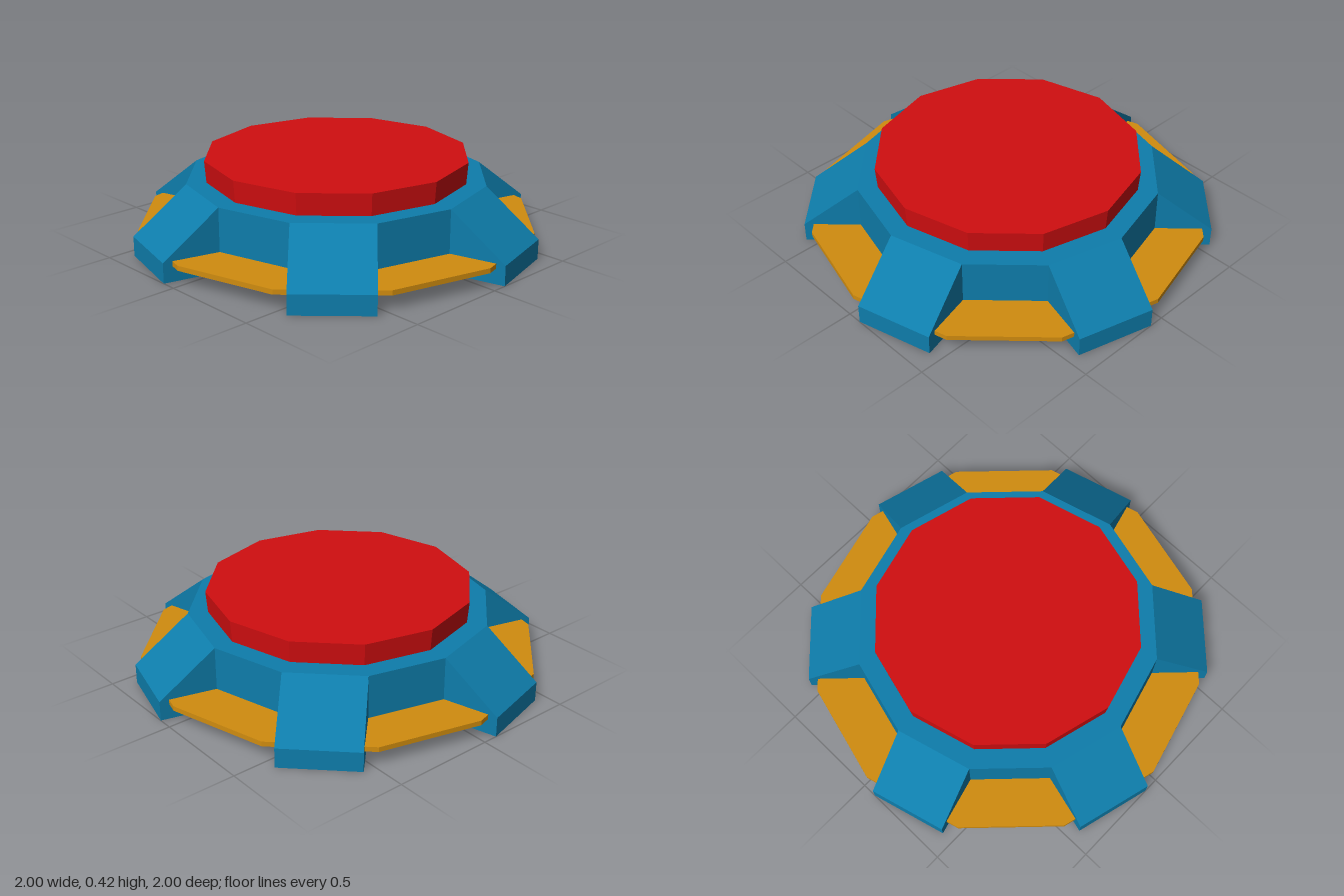
import * as THREE from 'three';

const SIDES = 12;
const BODY_R = 0.735;
const BODY_TOP = 0.312;

export function createModel() {
  const group = new THREE.Group();
  const paint = (color, side = THREE.FrontSide) =>
    new THREE.MeshStandardMaterial({ color, flatShading: true, side });
  const blue = paint(0x0e7dab);
  const add = (name, geometry, material, y = 0) => {
    const mesh = new THREE.Mesh(geometry, material);
    mesh.name = name;
    mesh.position.y = y;
    group.add(mesh);
    return mesh;
  };

  // Twelve-sided housing, open underneath
  const profile = [[BODY_R, 0], [BODY_R, BODY_TOP], [0, BODY_TOP]].map(([r, y]) => new THREE.Vector2(r, y));
  add('housing', new THREE.LatheGeometry(profile, SIDES), paint(0x0e7dab, THREE.DoubleSide));

  // Thin plate running through the housing and out between the feet
  add('plate', new THREE.CylinderGeometry(0.972, 0.972, 0.024, SIDES), paint(0xd08c0f), 0.087);

  // Slightly flared button on top
  add('button', new THREE.CylinderGeometry(0.646, 0.638, 0.107, SIDES), paint(0xd00e10), 0.3655);

  // Sloped feet on every second side of the housing
  const inner = BODY_R * Math.cos(Math.PI / SIDES);
  const width = 2 * BODY_R * Math.sin(Math.PI / SIDES);
  const outer = 0.984;
  const section = new THREE.Shape([
    new THREE.Vector2(inner, 0),
    new THREE.Vector2(outer, 0),
    new THREE.Vector2(outer, 0.097),
    new THREE.Vector2(inner, BODY_TOP),
  ]);
  const footGeometry = new THREE.ExtrudeGeometry(section, { depth: width, bevelEnabled: false });
  footGeometry.translate(0, 0, -width / 2);
  for (let i = 0; i < 6; i++) {
    const foot = add('foot' + (i + 1), footGeometry, blue);
    foot.rotation.y = -Math.PI / 4 + (i * Math.PI) / 3;
  }
  return group;
}
